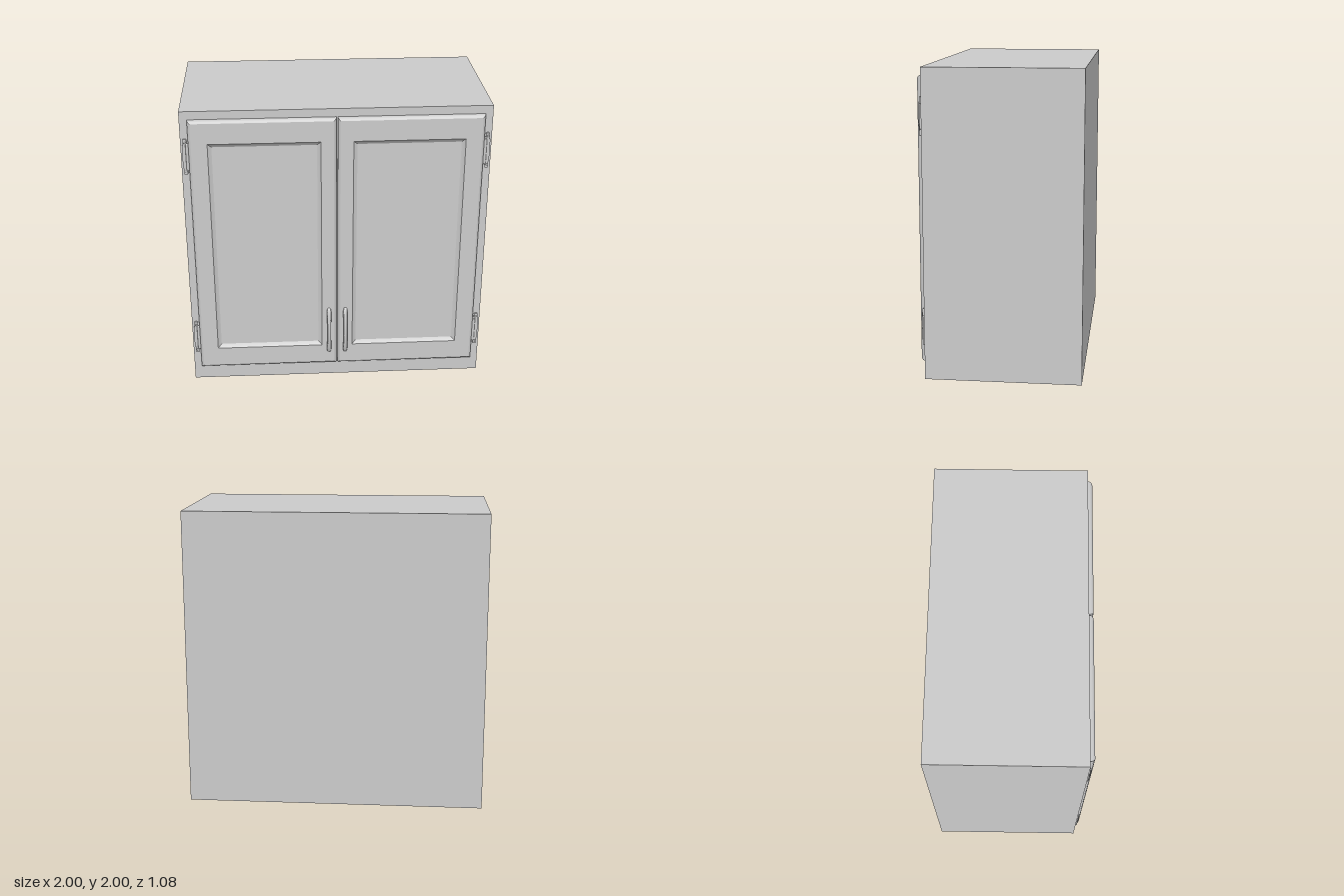
import * as THREE from 'three';
import { toCreasedNormals } from 'three/addons/utils/BufferGeometryUtils.js';

const material = new THREE.MeshStandardMaterial({ color: 0xcccccc });
const FRONT = 0.468; // front plane of the carcass

function addMesh(parent, name, geometry) {
  const mesh = new THREE.Mesh(geometry, material);
  mesh.name = name;
  parent.add(mesh);
  return mesh;
}

// Skin a series of closed loops; loops turn counterclockwise about the direction of travel
function loft(rings, { capStart = false, capEnd = false, crease = 0.5 } = {}) {
  const n = rings[0].length;
  const index = [];
  for (let j = 0; j < rings.length - 1; j++) {
    for (let k = 0; k < n; k++) {
      const a = j * n + k, b = j * n + (k + 1) % n;
      index.push(a, b, b + n, a, b + n, a + n);
    }
  }
  const last = (rings.length - 1) * n;
  for (let k = 1; k < n - 1; k++) {
    if (capStart) index.push(0, k + 1, k);
    if (capEnd) index.push(last, last + k, last + k + 1);
  }
  const geometry = new THREE.BufferGeometry();
  geometry.setAttribute('position', new THREE.Float32BufferAttribute(rings.flat(2), 3));
  geometry.setIndex(index);
  return toCreasedNormals(geometry, crease);
}

function rect(x0, x1, y0, y1, z, inset = 0) {
  const a = x0 + inset, b = x1 - inset, c = y0 + inset, d = y1 - inset;
  return [[a, c, z], [b, c, z], [b, d, z], [a, d, z]];
}

// Carcass: a closed box whose underside is recessed behind a narrow rim
function carcass() {
  const ring = (height, inset) => rect(-1, 1, -FRONT, 0.54, height, inset);
  const rings = [ring(0.05, 0.045), ring(0, 0.045), ring(0, 0), ring(2, 0)];
  return loft(rings, { capStart: true, capEnd: true }).rotateX(-Math.PI / 2);
}

// Door: rounded outer edge, flat frame, bevel down to a sunken panel
function door(side) {
  const span = (a, b) => (side > 0 ? [a, b] : [-b, -a]);
  const [x0, x1] = span(0.004, 0.95);
  const [p0, p1] = span(0.105, 0.828);
  const edge = [[0, FRONT], [0, 0.48], [0.003, 0.489], [0.009, 0.496], [0.018, 0.501]];
  const rings = edge.map(([inset, z]) => rect(x0, x1, 0.107, 1.945, z, inset));
  rings.push(rect(p0, p1, 0.26, 1.787, 0.501));
  rings.push(rect(p0, p1, 0.26, 1.787, 0.497, 0.003));
  rings.push(rect(p0, p1, 0.26, 1.787, 0.484, 0.025));
  return loft(rings, { capEnd: true });
}

// Handle: bowed pull with broad feet and a slimmer grip, elliptical in section
function handle() {
  const steps = 36, sides = 14, half = 0.18;
  const rings = [];
  for (let j = 0; j <= steps; j++) {
    const s = -Math.cos((j / steps) * Math.PI);
    const outer = 0.499 + 0.038 * Math.pow(Math.max(0, 1 - s * s), 0.6);
    const grip = Math.max(0, 1 - (s / 0.6) ** 2);
    const inner = 0.497 + 0.026 * Math.sqrt(grip);
    const round = Math.sqrt(Math.max(0, 1 - Math.abs(s) ** 10));
    const width = (0.013 + 0.005 * s * s) * round;
    const ring = [];
    for (let k = 0; k < sides; k++) {
      const a = (k / sides) * Math.PI * 2;
      ring.push([
        width * Math.cos(a),
        s * half,
        (outer + inner) / 2 - ((outer - inner) / 2) * Math.sin(a),
      ]);
    }
    rings.push(ring);
  }
  return loft(rings, { crease: 1 });
}

// Hinge: stepped leaf with rounded ends, a raised leaf, a barrel and two screws
function hinge() {
  const group = new THREE.Group();
  const leaf = (w, h, r, depth) => {
    const x = w / 2, y = h / 2;
    const s = new THREE.Shape();
    s.moveTo(-x + r, -y);
    s.lineTo(x - r, -y);
    s.quadraticCurveTo(x, -y, x, -y + r);
    s.lineTo(x, y - r);
    s.quadraticCurveTo(x, y, x - r, y);
    s.lineTo(-x + r, y);
    s.quadraticCurveTo(-x, y, -x, y - r);
    s.lineTo(-x, -y + r);
    s.quadraticCurveTo(-x, -y, -x + r, -y);
    return new THREE.ExtrudeGeometry(s, { depth, bevelEnabled: false, curveSegments: 5 });
  };
  addMesh(group, 'hingeLeaf', leaf(0.024, 0.245, 0.01, 0.012)).position.set(0.972, 0, FRONT);
  addMesh(group, 'hingeWideLeaf', leaf(0.04, 0.16, 0.008, 0.009)).position.set(0.97, 0, FRONT);
  addMesh(group, 'hingeBarrel', new THREE.CylinderGeometry(0.01, 0.01, 0.17, 12))
    .position.set(0.958, 0, 0.48);
  for (const end of [-1, 1]) {
    const screw = new THREE.SphereGeometry(0.007, 10, 6).scale(1, 1, 0.5);
    addMesh(group, 'hingeScrew', screw).position.set(0.973, end * 0.1, 0.48);
    const finial = new THREE.SphereGeometry(0.009, 10, 8);
    addMesh(group, 'hingeFinial', finial).position.set(0.958, end * 0.086, 0.48);
  }
  return group;
}

export function createModel() {
  const model = new THREE.Group();
  model.name = 'wallCabinet';
  addMesh(model, 'carcass', carcass());

  for (const side of [-1, 1]) {
    const label = side > 0 ? 'left' : 'right';
    addMesh(model, label + 'Door', door(side));
    addMesh(model, label + 'Handle', handle()).position.set(side * 0.056, 0.38, 0);

    // Hinges along the outer edge, turned outward by mirroring
    for (const [name, y] of [['UpperHinge', 1.695], ['LowerHinge', 0.342]]) {
      const h = hinge();
      h.name = label + name;
      h.scale.x = side;
      h.position.y = y;
      model.add(h);
    }
  }
  return model;
}
